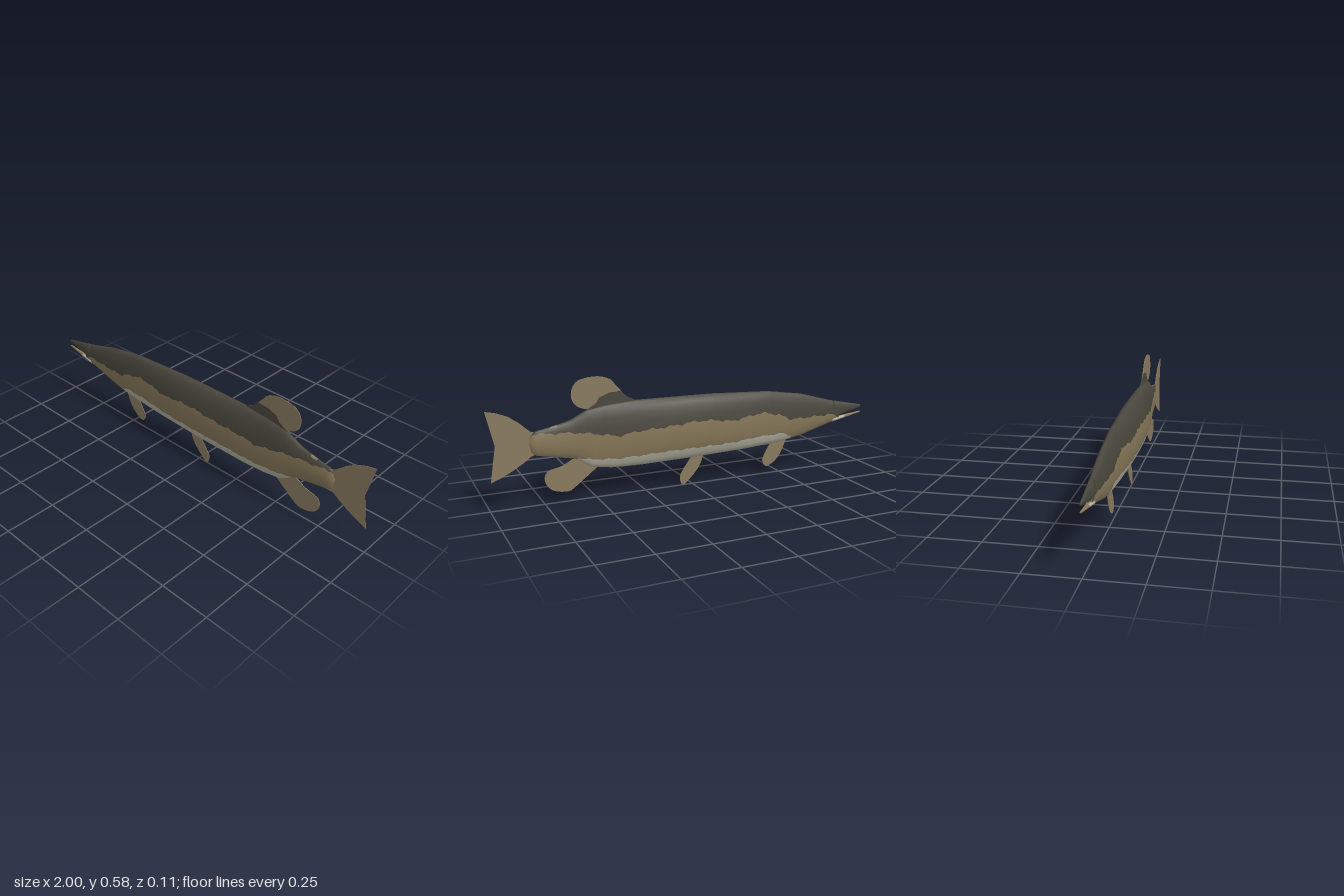
import * as THREE from 'three';

const paint = (name, color, side = THREE.FrontSide) => {
  const m = new THREE.MeshStandardMaterial({ color, side });
  m.name = name;
  return m;
};

// linear lookup in a list of [x, value] pairs
function lookup(table, x) {
  if (x <= table[0][0]) return table[0][1];
  for (let i = 1; i < table.length; i++) {
    const [x0, v0] = table[i - 1], [x1, v1] = table[i];
    if (x <= x1) return v0 + (v1 - v0) * (x - x0) / (x1 - x0);
  }
  return table[table.length - 1][1];
}

// outline of the body and the heights where its colours meet
const TOP = [[-1, 0.318], [-0.8, 0.36], [-0.62, 0.41], [-0.42, 0.44], [-0.1, 0.455], [0.3, 0.458], [0.45, 0.447],
  [0.54, 0.43], [0.62, 0.39], [0.7, 0.37], [0.78, 0.355], [0.8, 0.34], [0.812, 0.302]];
const BOTTOM = [[-1, 0.274], [-0.8, 0.235], [-0.62, 0.185], [-0.5, 0.165], [-0.3, 0.15], [0, 0.14], [0.3, 0.135],
  [0.42, 0.14], [0.52, 0.155], [0.6, 0.205], [0.7, 0.225], [0.78, 0.24], [0.8, 0.255], [0.812, 0.298]];
const WIDTH = [[-1, 0.004], [-0.8, 0.018], [-0.7, 0.025], [-0.4, 0.038], [-0.1, 0.052], [0, 0.053], [0.1, 0.052],
  [0.3, 0.045], [0.6, 0.026], [0.78, 0.017], [0.8, 0.013], [0.812, 0.002]];
const BACK_EDGE = [[-1, 0.27], [-0.85, 0.27], [-0.8, 0.285], [-0.55, 0.285], [-0.48, 0.315], [-0.4, 0.335], [-0.34, 0.335],
  [-0.2, 0.315], [-0.1, 0.33], [0, 0.335], [0.15, 0.322], [0.3, 0.315], [0.4, 0.3], [0.5, 0.32], [0.6, 0.335], [0.8, 0.345]];
const BELLY_EDGE = [[-0.57, 0.19], [-0.5, 0.215], [-0.35, 0.213], [-0.2, 0.2], [0.1, 0.198], [0.4, 0.188], [0.55, 0.2], [0.6, 0.21]];
const BANDS = [5, 4, 3];

// smooth loft of ellipses; pick(x, band, angle) chooses the material of each face
function loft(x0, x1, steps, top, bottom, width, pick) {
  const pos = [], faces = [[], [], []], bandOf = [], n = 24;
  BANDS.forEach((count, b) => { for (let k = 0; k < count; k++) bandOf.push(b); });
  const sides = [...bandOf, ...[...bandOf].reverse()];
  for (let i = -1; i <= steps + 1; i++) {
    const capped = i < 0 || i > steps;
    const x = x0 + (x1 - x0) * Math.min(Math.max(i, 0), steps) / steps;
    const t = top(x), b = bottom(x), c = (t + b) / 2, h = (t - b) / 2, w = width(x);
    const ragged = 0.004 * Math.sin(x * 61) + 0.003 * Math.sin(x * 143);
    const angle = y => Math.acos(THREE.MathUtils.clamp((y - c) / h, -1, 1));
    const a1 = THREE.MathUtils.clamp(angle(lookup(BACK_EDGE, x) + ragged), 0.4, 2.5);
    const a2 = THREE.MathUtils.clamp(angle(lookup(BELLY_EDGE, x) + ragged * 0.7), a1 + 0.15, Math.PI - 0.25);
    const stops = [0, a1, a2, Math.PI], half = [];
    BANDS.forEach((count, q) => {
      for (let k = 0; k < count; k++) half.push(stops[q] + (stops[q + 1] - stops[q]) * k / count);
    });
    const ring = [...half, Math.PI, ...half.slice(1).reverse().map(a => 2 * Math.PI - a)];
    const s = capped ? 0 : 1;
    for (const a of ring) pos.push(x, c + s * h * Math.cos(a), s * w * Math.sin(a));
    if (i > steps) break;
    for (let j = 0; j < n; j++) {
      const a = (i + 1) * n + j, d = (i + 1) * n + (j + 1) % n;
      const fromTop = Math.min(j, n - 1 - j);
      faces[pick(x, sides[j], fromTop)].push(a, d, a + n, d, d + n, a + n);
    }
  }
  const geo = new THREE.BufferGeometry();
  geo.setAttribute('position', new THREE.Float32BufferAttribute(pos, 3));
  geo.setIndex(faces.flat());
  let start = 0;
  faces.forEach((f, m) => { geo.addGroup(start, f.length, m); start += f.length; });
  geo.computeVertexNormals();
  return geo;
}

// flat fin: a smooth or straight outline given thickness
function fin(points, thickness, smooth = true) {
  const pts = points.map(p => new THREE.Vector2(...p));
  const shape = new THREE.Shape().moveTo(pts[0].x, pts[0].y);
  if (smooth) shape.splineThru(pts.slice(1));
  else pts.slice(1).forEach(p => shape.lineTo(p.x, p.y));
  const geo = new THREE.ExtrudeGeometry(shape, { depth: thickness, bevelEnabled: false, curveSegments: 28 });
  return geo.translate(0, 0, -thickness / 2);
}

export function createModel() {
  const model = new THREE.Group();
  const back = paint('dark olive back', 0x4a473d);
  const flank = paint('brown flank', 0x877859);
  const belly = paint('pale belly', 0xb4b2a1);
  const finPaint = paint('brown fin', 0x8a7b60, THREE.DoubleSide);
  const skin = [back, flank, belly];
  const add = (name, geo, mat) => {
    const mesh = new THREE.Mesh(geo, mat);
    mesh.name = name;
    model.add(mesh);
  };

  // body with three colour bands and a few patches
  add('body', loft(-0.86, 0.812, 150, x => lookup(TOP, x), x => lookup(BOTTOM, x), x => lookup(WIDTH, x),
    (x, band, fromTop) => {
      if (band === 0 && x > 0.67 && x < 0.71 && fromTop < 2) return 1;
      if (band !== 2) return band;
      if (x < -0.8) return 2;
      if (x > 0.27 && x < 0.34 && fromTop > 10) return 1;
      return x > -0.56 && x < 0.58 ? 2 : 1;
    }), skin);

  // open jaws
  const lerp = (a, b) => x => a + (b - a) * (x + 1) / 0.18;
  add('upperJaw', loft(-1, -0.82, 12, x => lookup(TOP, x), lerp(0.304, 0.26),
    x => lookup(WIDTH, x), () => 0), skin);
  add('lowerJaw', loft(-1, -0.82, 12, lerp(0.283, 0.262), x => lookup(BOTTOM, x),
    x => lookup(WIDTH, x) * 0.95, (x, band) => (x > -0.9 && band === 1 ? 2 : 1)), skin);

  // fins along the midline
  add('dorsalFin', fin([[0.28, 0.45], [0.335, 0.475], [0.39, 0.535], [0.425, 0.57], [0.49, 0.585], [0.57, 0.572],
    [0.603, 0.535], [0.605, 0.485], [0.575, 0.448], [0.51, 0.432], [0.4, 0.43]], 0.003), finPaint);
  add('dorsalFinBase', fin([[0.28, 0.45], [0.335, 0.477], [0.37, 0.508], [0.43, 0.503], [0.475, 0.485],
    [0.49, 0.46], [0.54, 0.43], [0.4, 0.43]], 0.005, false), back);
  add('analFin', fin([[0.48, 0.16], [0.515, 0.135], [0.6, 0.07], [0.64, 0.051], [0.71, 0.065], [0.745, 0.11],
    [0.732, 0.157], [0.66, 0.178], [0.6, 0.205], [0.53, 0.19]], 0.003), finPaint);
  add('pelvicFin', fin([[-0.06, 0.15], [-0.037, 0.09], [0.01, 0.035], [0.052, 0.003], [0.068, 0.045],
    [0.045, 0.09], [0, 0.15]], 0.003), finPaint);
  add('pectoralFin', fin([[-0.54, 0.18], [-0.507, 0.105], [-0.47, 0.062], [-0.422, 0.041], [-0.4, 0.075],
    [-0.42, 0.125], [-0.455, 0.175]], 0.003), finPaint);
  add('tailFin', fin([[0.76, 0.34], [0.805, 0.358], [0.85, 0.4], [0.9, 0.435], [0.95, 0.455], [1, 0.466], [0.963, 0.305],
    [0.99, 0.137], [0.94, 0.157], [0.89, 0.182], [0.84, 0.212], [0.805, 0.238], [0.76, 0.255]], 0.003, false), finPaint);

  return model;
}
